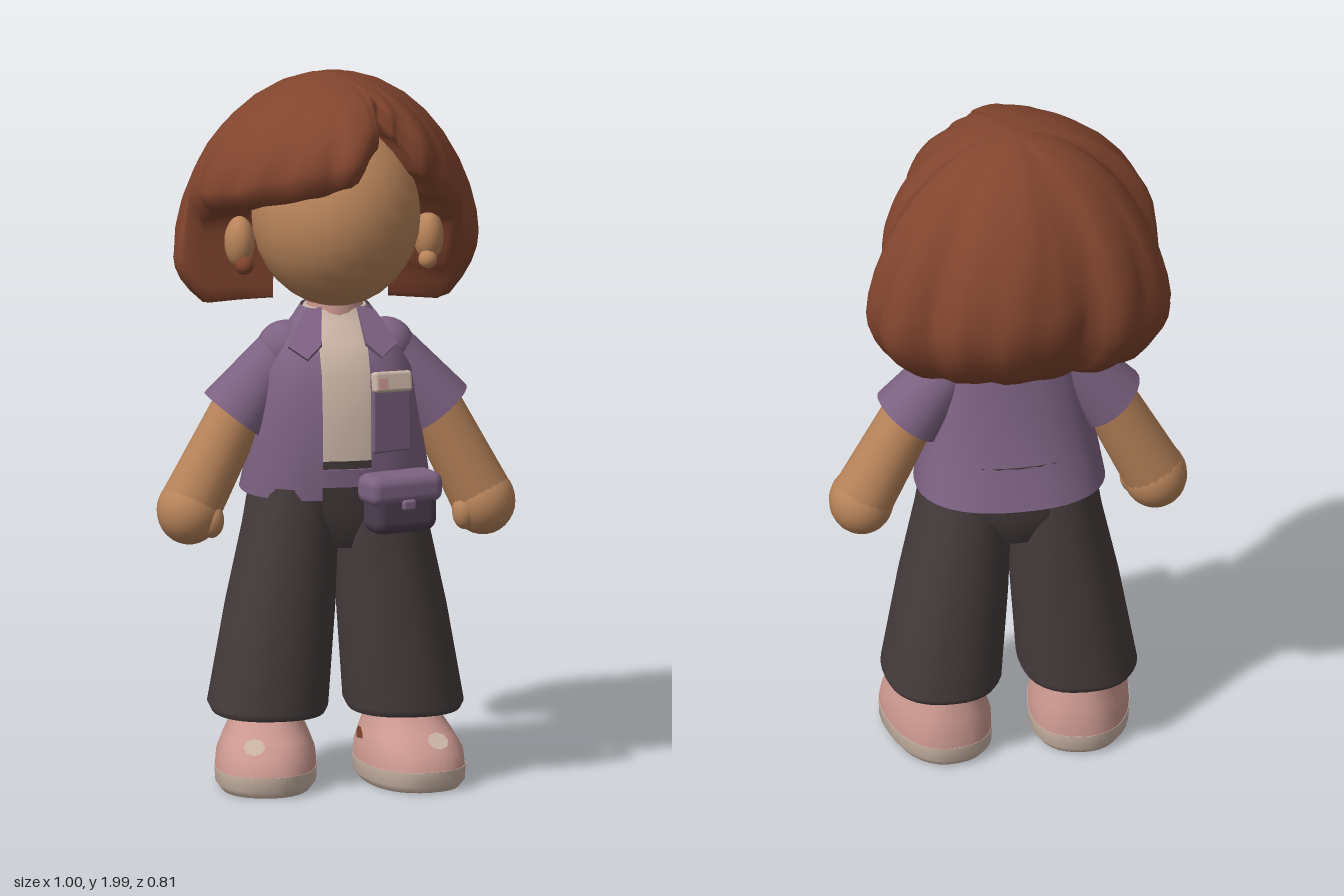
import * as THREE from 'three';
import { RoundedBoxGeometry } from 'three/addons/geometries/RoundedBoxGeometry.js';

const mat = (name, color, side = THREE.FrontSide) => {
  const m = new THREE.MeshStandardMaterial({ color, side });
  m.name = name;
  return m;
};

function buildGeometry(pos, idx) {
  const g = new THREE.BufferGeometry();
  g.setAttribute('position', new THREE.Float32BufferAttribute(pos, 3));
  g.setIndex(idx);
  g.computeVertexNormals();
  return g;
}

// Loft through rings [y, cx, cz, rx, rz]; gap leaves a front opening of that half width.
function loft(rings, { n = 32, e = 0.85, gap = 0, caps = true } = {}) {
  const pos = [], idx = [];
  const point = (ring, k) => {
    const [y, cx, cz, rx, rz] = ring;
    const a0 = gap ? Math.asin(Math.pow(gap / rx, 1 / e)) : 0;
    const a = a0 + (k / n) * (Math.PI * 2 - 2 * a0);
    const p = (v) => Math.sign(v) * Math.pow(Math.abs(v), e);
    return [cx + rx * p(Math.sin(a)), y, cz + rz * p(Math.cos(a))];
  };
  const cols = gap ? n + 1 : n;
  rings.forEach((r) => { for (let k = 0; k < cols; k++) pos.push(...point(r, k)); });
  for (let j = 0; j < rings.length - 1; j++) for (let k = 0; k < n; k++) {
    const k1 = (k + 1) % cols;
    const a = j * cols + k, c = j * cols + k1, b = a + cols, d = c + cols;
    idx.push(a, c, b, c, d, b);
  }
  if (caps && !gap) [rings[0], rings[rings.length - 1]].forEach((r, top) => {
    const s = pos.length / 3;
    pos.push(r[1], r[0], r[2]);
    for (let k = 0; k < n; k++) pos.push(...point(r, k));
    for (let k = 0; k < n; k++) {
      const a = s + 1 + k, b = s + 1 + (k + 1) % n;
      if (top) idx.push(s, a, b); else idx.push(s, b, a);
    }
  });
  return buildGeometry(pos, idx);
}

// Hairline: [azimuth from front, widest radius, its height, edge radius, edge height]
const HAIR = [
  [27, .2, 1.93, .2, 1.88], [36, .25, 1.88, .25, 1.83], [50, .31, 1.78, .3, 1.72],
  [67, .33, 1.7, .31, 1.64], [80, .36, 1.62, .33, 1.57], [88, .38, 1.55, .32, 1.42],
  [94, .4, 1.5, .3, 1.33], [106, .445, 1.5, .36, 1.33], [122, .46, 1.5, .36, 1.34],
  [137, .41, 1.52, .33, 1.34], [152, .42, 1.54, .32, 1.35], [180, .395, 1.55, .3, 1.35],
  [202, .365, 1.55, .28, 1.34], [220, .42, 1.52, .33, 1.34], [238, .44, 1.5, .36, 1.33],
  [256, .445, 1.46, .36, 1.33], [267, .41, 1.46, .34, 1.34], [273, .4, 1.66, .36, 1.58],
  [285, .395, 1.68, .36, 1.62], [303, .385, 1.7, .34, 1.64], [322, .36, 1.74, .33, 1.67],
  [345, .355, 1.77, .33, 1.7], [360, .36, 1.79, .34, 1.73], [375, .31, 1.84, .3, 1.81],
];

// Each column falls from the crown to the widest point, in to the edge, then tucks under.
function hairGeometry() {
  const pos = [], idx = [], SUB = 4, UP = 9, LOW = 4, TOP = 1.985;
  const rows = UP + LOW + 3, cols = HAIR.length * SUB;
  for (let c = 0; c < cols; c++) {
    const i = Math.floor(c / SUB), f = (c % SUB) / SUB, w = f * f * (3 - 2 * f);
    const A = HAIR[i], B = HAIR[(i + 1) % HAIR.length];
    const azB = i === HAIR.length - 1 ? B[0] + 360 : B[0];
    const az = THREE.MathUtils.degToRad(A[0] + (azB - A[0]) * f);
    const [rM, yM, rB, yB] = [1, 2, 3, 4].map((q) => A[q] + (B[q] - A[q]) * w);
    for (let j = 0; j < rows; j++) {
      let r, y, s = 1;
      if (j <= UP) {
        s = j / UP;
        r = rM * Math.sin(s * Math.PI / 2);
        y = yM + (TOP - yM) * Math.pow(Math.cos(s * Math.PI / 2), 1.2);
      } else if (j <= UP + LOW) {
        const t = (j - UP) / LOW;
        r = rM + (rB - rM) * t * t;
        y = yM + (yB - yM) * t;
      } else {
        const t = (j - UP - LOW) / 2;
        r = rB + (0.16 - rB) * t;
        y = yB + 0.015 * t;
      }
      const groove = Math.pow(1 - Math.abs(Math.sin(7.5 * az + s * 1.2)), 2);
      r *= 1.01 - 0.06 * groove * s;
      pos.push(r * Math.sin(az), y, r * Math.cos(az));
    }
  }
  for (let c = 0; c < cols; c++) for (let j = 0; j < rows - 1; j++) {
    const a = c * rows + j, b = a + 1, d = ((c + 1) % cols) * rows + j;
    idx.push(a, b, d, d, b, d + 1);
  }
  return buildGeometry(pos, idx);
}

export function createModel() {
  const root = new THREE.Group();
  const skin = mat('skin', 0xb9845a), hairM = mat('hair', 0x82452e), pink = mat('pink', 0xcb9890);
  const purple = mat('jacket purple', 0x7d6282, THREE.DoubleSide), cream = mat('cream', 0xcbb5a6);
  const dark = mat('trousers charcoal', 0x463c3d), plum = mat('dark plum', 0x4d3f50);

  const add = (name, geo, m, x = 0, y = 0, z = 0, parent = root) => {
    const mesh = new THREE.Mesh(geo, m);
    mesh.name = name;
    mesh.position.set(x, y, z);
    parent.add(mesh);
    return mesh;
  };
  const ball = (name, m, p, r) => {
    const b = add(name, new THREE.SphereGeometry(1, 24, 16), m, ...p);
    b.scale.set(...r);
    return b;
  };
  const limb = (name, m, p0, p1, r0, r1) => {
    const a = new THREE.Vector3(...p0), b = new THREE.Vector3(...p1), d = a.clone().sub(b);
    const mesh = add(name, new THREE.CylinderGeometry(r0, r1, d.length(), 20), m);
    mesh.position.copy(a).add(b).multiplyScalar(0.5);
    mesh.quaternion.setFromUnitVectors(new THREE.Vector3(0, 1, 0), d.normalize());
    return mesh;
  };

  // Head
  ball('head', skin, [0, 1.605, .08], [.235, .26, .25]);
  add('hair', hairGeometry(), hairM);
  add('neck', new THREE.CylinderGeometry(.075, .085, .16, 20), pink, 0, 1.33, .065);

  // Torso
  const torso = [[.83, 0, .065, .265, .205], [.92, 0, .085, .25, .195], [1.05, 0, .105, .225, .175],
    [1.18, 0, .105, .205, .158], [1.26, 0, .09, .165, .125], [1.31, 0, .07, .12, .09], [1.345, 0, .062, .095, .08]];
  add('jacket', loft(torso, { n: 40, gap: .068 }), purple);
  add('shirt', loft(torso.slice(1).map(([y, x, z, rx, rz]) => [y + (y < .95 ? .02 : 0), x, z, rx * .9, rz * .93])), cream);
  add('hips', loft([[.68, 0, .07, .13, .13], [.78, 0, .07, .235, .175], [.95, 0, .078, .23, .18]]), dark);
  add('belt', loft([[.865, 0, .075, .24, .187], [.915, 0, .078, .238, .187]]), purple);

  // Chest pocket and badge
  const pocket = new THREE.Group();
  pocket.name = 'chestPocket';
  pocket.position.set(.125, 1.06, .255);
  pocket.rotation.y = .35;
  root.add(pocket);
  add('pocket', new RoundedBoxGeometry(.12, .2, .02, 2, .008), purple, 0, 0, 0, pocket);
  const badge = add('badge', new RoundedBoxGeometry(.12, .058, .03, 2, .01), cream, 0, .1, .006, pocket);
  badge.rotation.set(-.2, 0, -.05);
  add('badgeMark', new THREE.BoxGeometry(.03, .03, .006), pink, -.035, .1, .021, pocket).rotation.x = -.2;

  // Belt bag
  const bag = new THREE.Group();
  bag.name = 'beltBag';
  bag.position.set(.14, .835, .325);
  bag.rotation.y = .3;
  root.add(bag);
  add('bagBody', new RoundedBoxGeometry(.2, .15, .1, 3, .035), plum, 0, -.01, 0, bag);
  add('bagFlap', new RoundedBoxGeometry(.225, .085, .115, 3, .03), purple, 0, .04, 0, bag);
  add('bagClasp', new RoundedBoxGeometry(.04, .03, .02, 2, .008), purple, 0, 0, .056, bag);

  for (const s of [1, -1]) {
    const side = s > 0 ? 'left' : 'right';

    // Ears and earrings
    ball(side + 'Ear', skin, [s * .265, 1.525, .05], [.042, .072, .05]);
    ball(side + 'Earring', s > 0 ? skin : hairM, [s * .257, 1.465, .085], [.026, .026, .026]);

    // Collar
    const shape = new THREE.Shape([[.05, .01], [.1, 0], [.155, -.1], [.105, -.15], [.062, -.11]]
      .map(([x, y]) => new THREE.Vector2(s * x, y)));
    const collar = add(side + 'Collar', new THREE.ExtrudeGeometry(shape, { depth: .012, bevelEnabled: false }),
      purple, 0, 1.345, .148);
    collar.rotation.set(-.72, s * .2, 0);

    // Arms
    ball(side + 'Shoulder', purple, [s * .14, 1.225, .075], [.08, .078, .085]);
    limb(side + 'Sleeve', purple, [s * .14, 1.225, .075], [s * .285, 1.04, .077], .075, .104);
    limb(side + 'Arm', skin, [s * .26, 1.08, .078], [s * .41, .785, .082], .076, .088);
    ball(side + 'Hand', skin, [s * .412, .777, .084], [.09, .095, .095]);
    ball(side + 'Thumb', skin, [s * .355, .755, .12], [.035, .05, .04]);

    // Wide trouser legs
    add(side + 'Leg', loft([[.205, s * .19, .072, .155, .18], [.225, s * .19, .072, .165, .192],
      [.5, s * .156, .075, .15, .187], [.72, s * .128, .077, .13, .183], [.86, s * .115, .078, .12, .175]]), dark);

    // Shoes
    const shoe = new THREE.Group();
    shoe.name = side + 'Shoe';
    shoe.position.set(s * .2, 0, .1);
    shoe.rotation.y = s * .17;
    root.add(shoe);
    add('sole', loft([[0, 0, .005, .125, .195], [.02, 0, .005, .14, .212], [.06, 0, .005, .142, .212]]), cream, 0, 0, 0, shoe);
    add('upper', loft([[.055, 0, .005, .141, .211], [.1, 0, 0, .137, .203], [.14, 0, -.02, .12, .172],
      [.18, 0, -.045, .1, .135], [.23, 0, -.05, .09, .115]]), pink, 0, 0, 0, shoe);
    ball('unused', cream, [0, 0, 0], [1, 1, 1]).removeFromParent();
    const patch = add('innerPatch', new THREE.CircleGeometry(.026, 8), hairM, -s * .129, .125, -.04, shoe);
    patch.rotation.set(0, -s * Math.PI / 2, 0);
    patch.rotation.z = s * .4;
    const toe = add('toePatch', new THREE.CircleGeometry(.03, 8), cream, s * .03, .137, .165, shoe);
    toe.rotation.x = -.85;
  }
  return root;
}
